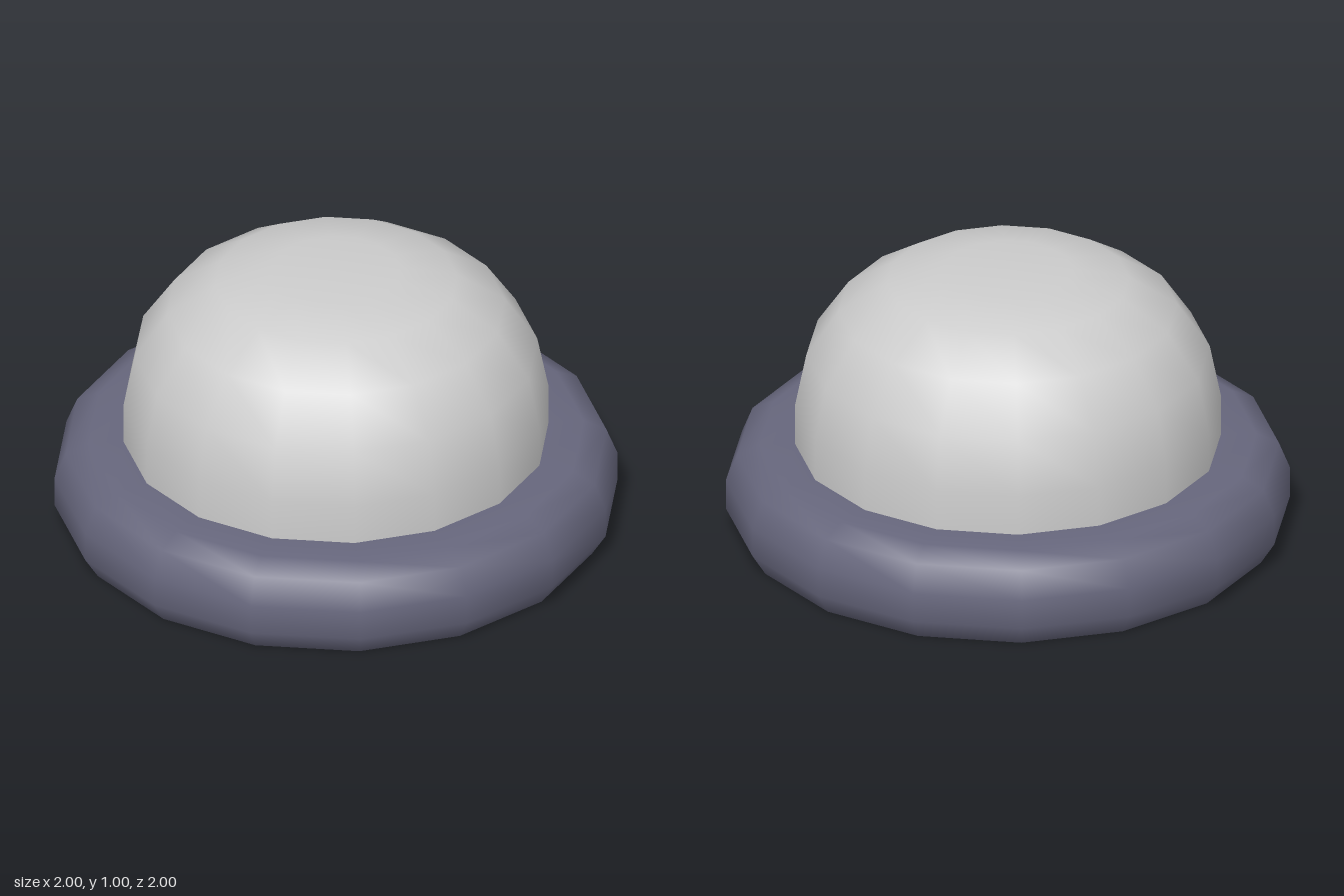
import * as THREE from 'three';

const SIDES = 16;

// Smooth turned part from a [radius, height] profile listed bottom to top
function turned(name, profile, color) {
  const points = profile.map(([r, y]) => new THREE.Vector2(r, y));
  const mesh = new THREE.Mesh(
    new THREE.LatheGeometry(points, SIDES),
    new THREE.MeshStandardMaterial({ color })
  );
  mesh.name = name;
  return mesh;
}

export function createModel() {
  const model = new THREE.Group();
  model.name = 'domedButton';

  // Wide dark base with softened rims, closed underneath
  model.add(turned('base', [
    [0, 0], [0.95, 0], [1, 0.08], [1, 0.19], [0.96, 0.29], [0.88, 0.33], [0.75, 0.33],
  ], 0x66667c));

  // Rounded dome rising from the base
  model.add(turned('dome', [
    [0.755, 0.32], [0.755, 0.48], [0.715, 0.68], [0.6, 0.85], [0.43, 0.96], [0.23, 1], [0, 1],
  ], 0xcccccc));

  return model;
}
